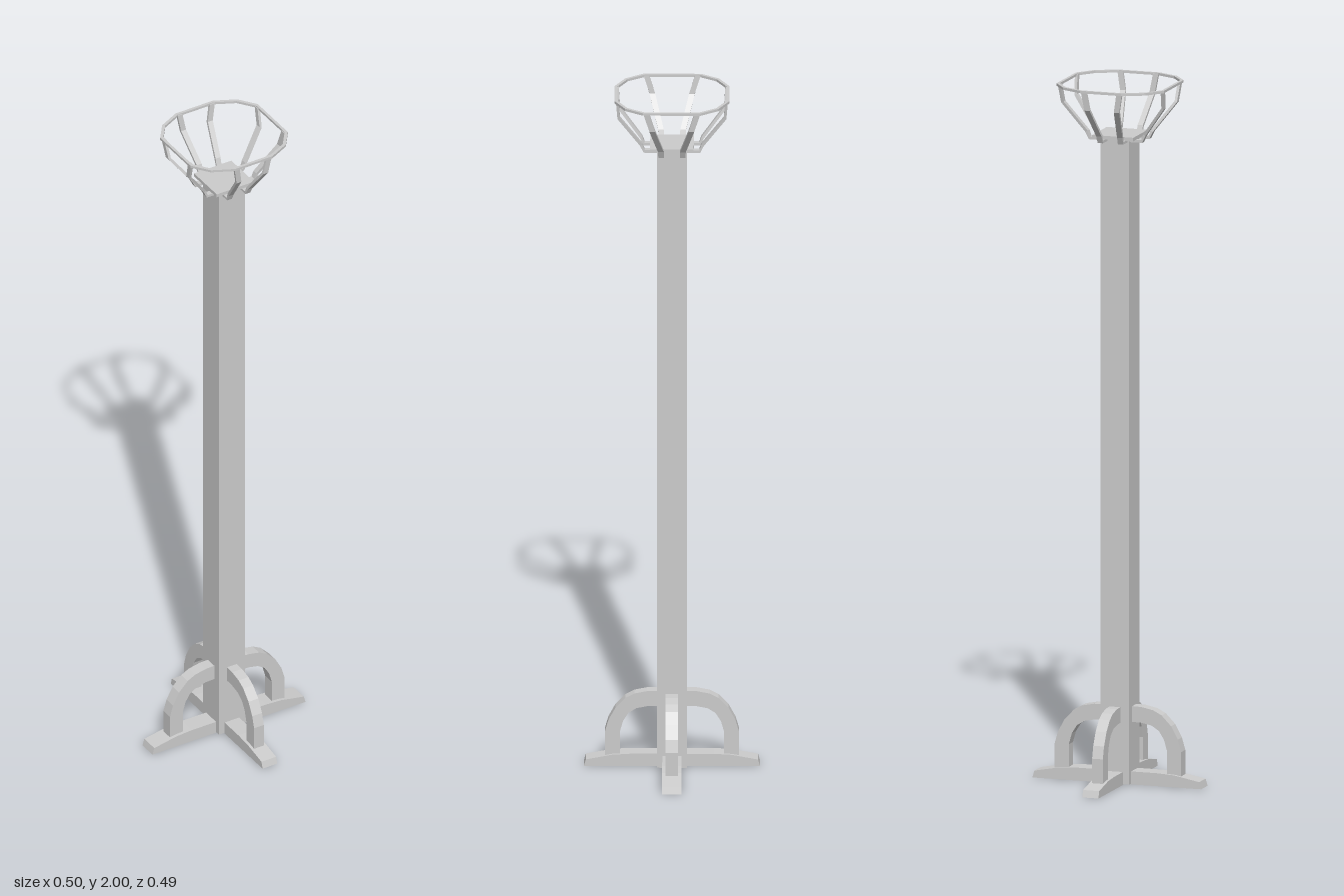
import * as THREE from 'three';

const material = new THREE.MeshStandardMaterial({ color: 0xcccccc, flatShading: true });

function part(name, geometry, parent) {
  const mesh = new THREE.Mesh(geometry, material);
  mesh.name = name;
  parent.add(mesh);
  return mesh;
}

// Side profile in x/y, extruded evenly about z = 0
function slab(points, width) {
  const shape = new THREE.Shape(points.map(([x, y]) => new THREE.Vector2(x, y)));
  const g = new THREE.ExtrudeGeometry(shape, { depth: width, bevelEnabled: false });
  return g.translate(0, 0, -width / 2);
}

// Skin a row of four-cornered cross-sections, either closed in a loop or capped
function loft(sections, closed) {
  const n = sections.length;
  const index = [];
  for (let i = 0; i < (closed ? n : n - 1); i++) {
    for (let j = 0; j < 4; j++) {
      const a = i * 4 + j, b = i * 4 + (j + 1) % 4;
      const c = ((i + 1) % n) * 4 + j, d = ((i + 1) % n) * 4 + (j + 1) % 4;
      index.push(a, b, d, a, d, c);
    }
  }
  if (!closed) {
    const e = (n - 1) * 4;
    index.push(0, 2, 1, 0, 3, 2, e, e + 1, e + 2, e, e + 2, e + 3);
  }
  const g = new THREE.BufferGeometry();
  g.setAttribute('position', new THREE.Float32BufferAttribute(sections.flat(2), 3));
  g.setIndex(index);
  const flat = g.toNonIndexed();
  flat.computeVertexNormals();
  return flat;
}

// Foot bar with tapering ends
function foot(half, width) {
  const right = [
    [half, 0], [half - 0.006, 0.02], [half - 0.08, 0.034], [half - 0.13, 0.037],
  ];
  return slab([...right, ...right.map(([x, y]) => [-x, y]).reverse()], width);
}

// Flat strap running outward along x to the rim; nx, ny is the thickness direction
function strap(side, rimZ) {
  const path = [
    [0.035, 1.841, 0.03, 0, 1], [0.078, 1.841, 0.03, -0.35, 0.94],
    [0.086, 1.86, 0.031, -0.85, 0.53], [0.149, 1.944, 0.4 * 0.03 + 0.6 * rimZ, -0.9, 0.4],
    [0.153, 1.998, rimZ, -1, 0.1],
  ];
  const t = 0.004, w = 0.008;
  const corners = [[-1, -1], [1, -1], [1, 1], [-1, 1]];
  return loft(path.map(([x, y, z, nx, ny]) =>
    corners.map(([s, q]) => [x + nx * t * s, y + ny * t * s, z * side + q * w])), false);
}

export function createModel() {
  const model = new THREE.Group();
  model.name = 'postWithBasket';

  // Square post and its top plate
  part('post', new THREE.BoxGeometry(0.085, 1.843, 0.085), model).position.y = 0.9235;
  part('topPlate', new THREE.BoxGeometry(0.122, 0.01, 0.122), model).position.y = 1.85;

  // Crossed feet
  part('sideFoot', foot(0.251, 0.054), model);
  part('frontBackFoot', foot(0.247, 0.048), model).rotation.y = Math.PI / 2;

  // Curved brace profile, from the post down to the foot
  const brace = [
    [0.035, 0.222], [0.07, 0.221], [0.105, 0.214], [0.13, 0.201], [0.158, 0.172],
    [0.178, 0.135], [0.188, 0.1], [0.188, 0.03], [0.146, 0.03], [0.146, 0.1],
    [0.137, 0.132], [0.122, 0.156], [0.1, 0.17], [0.07, 0.176], [0.035, 0.177],
  ];

  // One brace and two basket straps on each of the four sides
  for (let i = 0; i < 4; i++) {
    const alongX = i % 2 === 0;
    const quarter = new THREE.Group();
    quarter.name = 'quarter' + (i + 1);
    quarter.rotation.y = i * Math.PI / 2;
    model.add(quarter);
    part('brace', slab(brace, alongX ? 0.035 : 0.032), quarter);
    for (const side of [-1, 1]) {
      part('basketStrap', strap(side, alongX ? 0.072 : 0.053), quarter);
    }
  }

  // Twelve-cornered rim: one quadrant, mirrored round
  const corner = [[0.16, 0.081], [0.123, 0.131], [0.061, 0.161]];
  const rim = [
    ...corner,
    ...corner.map(([x, z]) => [-x, z]).reverse(),
    ...corner.map(([x, z]) => [-x, -z]),
    ...corner.map(([x, z]) => [x, -z]).reverse(),
  ];
  const inner = 0.95;
  part('basketRim', loft(rim.map(([x, z]) => [
    [x, 1.993, z], [x, 2, z], [x * inner, 2, z * inner], [x * inner, 1.993, z * inner],
  ]), true), model);

  return model;
}
